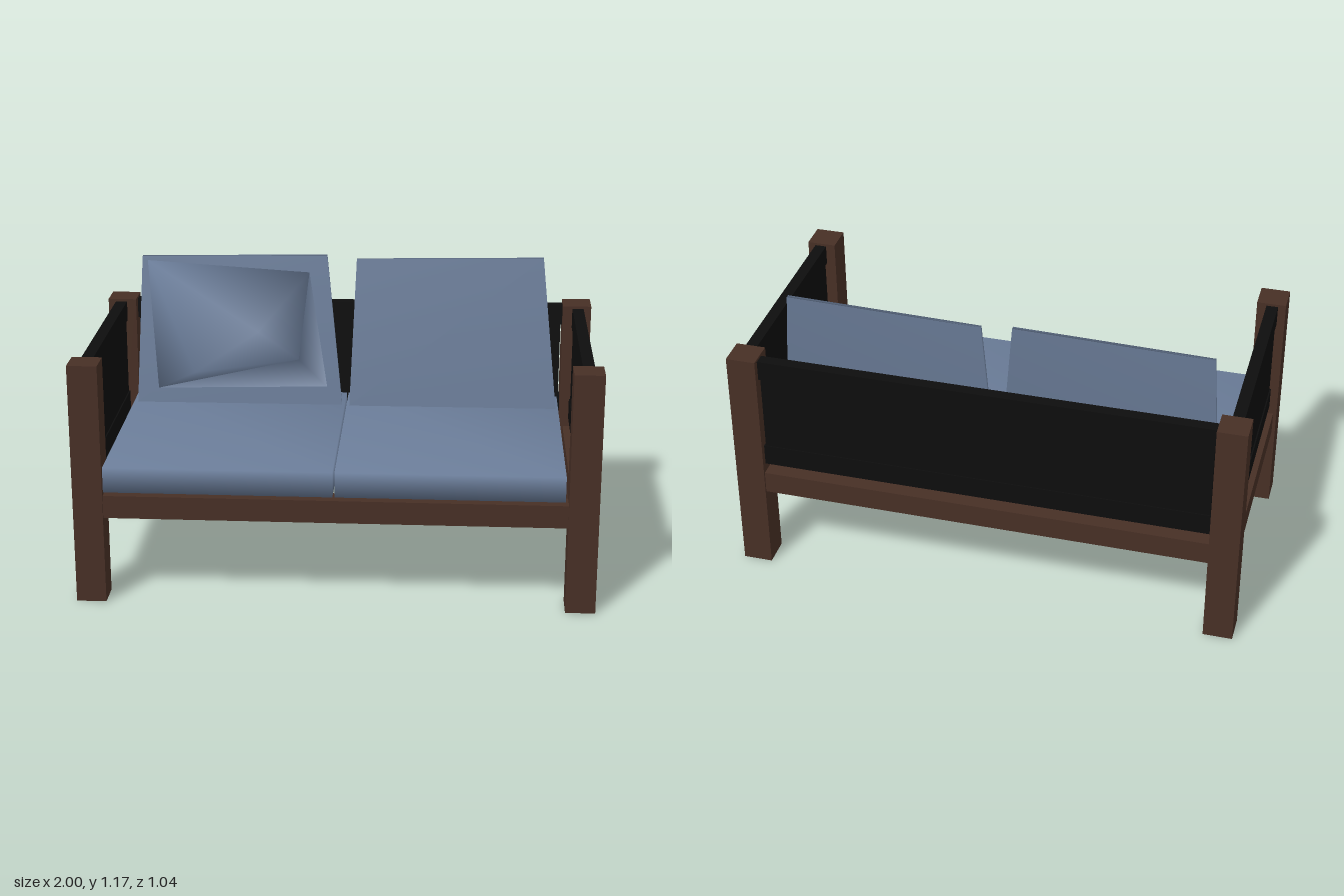
import * as THREE from 'three';

const mat = (name, color) => Object.assign(new THREE.MeshStandardMaterial({ color }), { name });

export function createModel() {
  const wood = mat('dark brown wood', 0x472f25);
  const black = mat('black fabric', 0x0d0d0d);
  const blue = mat('slate blue fabric', 0x6b7d99);
  const root = new THREE.Group();
  root.name = 'sofa';

  const add = (name, geometry, material, parent = root) => {
    const mesh = new THREE.Mesh(geometry, material);
    mesh.name = name;
    parent.add(mesh);
    return mesh;
  };
  // Box given by its minimum and maximum on each axis
  const box = (name, material, [x0, x1], [y0, y1], [z0, z1], parent) =>
    add(name, new THREE.BoxGeometry(x1 - x0, y1 - y0, z1 - z0), material, parent)
      .position.set((x0 + x1) / 2, (y0 + y1) / 2, (z0 + z1) / 2);
  // Shared corners give soft shading across the cushion
  const soft = (points, index) => {
    const g = new THREE.BufferGeometry();
    g.setAttribute('position', new THREE.Float32BufferAttribute(points.flat(), 3));
    g.setIndex(index);
    g.computeVertexNormals();
    return g;
  };
  // Six-sided cushion from a front and a back quad, each counter-clockwise from the front
  const slab = (front, back) => {
    const index = [0, 1, 2, 0, 2, 3, 4, 6, 5, 4, 7, 6];
    for (let i = 0; i < 4; i++) {
      const j = (i + 1) % 4;
      index.push(i, i + 4, j + 4, i, j + 4, j);
    }
    return soft([...front, ...back], index);
  };

  // Corner posts
  for (const x of [-0.9425, 0.9425])
    for (const z of [-0.4625, 0.4625])
      box('post', wood, [x - 0.0575, x + 0.0575], [0, 0.955], [z - 0.0575, z + 0.0575]);

  // Seat rails
  const railY = [0.345, 0.435];
  box('frontRail', wood, [-0.885, 0.885], railY, [0.43, 0.512]);
  box('backRail', wood, [-0.885, 0.885], railY, [-0.512, -0.43]);
  box('leftRail', wood, [0.9, 0.987], railY, [-0.405, 0.405]);
  box('rightRail', wood, [-0.987, -0.9], railY, [-0.405, 0.405]);

  // Slats under the seat
  for (let i = 0; i < 8; i++) {
    const x = -0.77 + i * 0.22;
    box('slat', wood, [x - 0.018, x + 0.018], [0.375, 0.42], [-0.43, 0.43]);
  }

  // Fabric panels: fuller top and bottom bands around a slimmer middle
  const panel = (name, length) => {
    const group = new THREE.Group();
    group.name = name;
    const half = length / 2;
    box('topBand', black, [-half, half], [0.865, 0.945], [-0.023, 0.023], group);
    box('middle', black, [-half + 0.006, half - 0.006], [0.555, 0.865], [-0.018, 0.018], group);
    box('bottomBand', black, [-half, half], [0.47, 0.555], [-0.023, 0.023], group);
    root.add(group);
    return group;
  };
  panel('backPanel', 1.77).position.z = -0.473;
  for (const side of [-1, 1]) {
    const p = panel(side > 0 ? 'leftArmPanel' : 'rightArmPanel', 0.81);
    p.position.x = side * 0.946;
    p.rotation.y = Math.PI / 2;
  }

  // Seat cushions
  for (const [x0, x1] of [[-0.885, -0.008], [0, 0.873]]) {
    const quad = (z, top) => [[x0, 0.445, z], [x1, 0.445, z], [x1, top, z], [x0, top, z]];
    add('seatCushion', slab(quad(0.5, 0.545), quad(-0.44, 0.553)), blue);
  }

  // Thin back cushions leaning backward
  for (const dx of [0, 0.88]) {
    const quad = (zLow, zHigh) => [
      [-0.868 + dx, 0.552, zLow], [-0.018 + dx, 0.555, zLow],
      [-0.083 + dx, 1.17, zHigh], [-0.842 + dx, 1.155, zHigh],
    ];
    add('backCushion', slab(quad(-0.27, -0.35), quad(-0.288, -0.365)), blue);
  }

  // Throw pillow swelling to an off-centre peak
  const pillow = [
    [-0.78, 0.612, -0.278], [-0.08, 0.63, -0.28], [-0.155, 1.1, -0.338], [-0.82, 1.14, -0.344],
    [-0.62, 0.7, -0.22], [-0.19, 0.77, -0.2], [-0.345, 0.905, -0.12],
  ];
  add('throwPillow', soft(pillow, [
    3, 0, 4, 0, 1, 5, 0, 5, 4, 1, 2, 5,
    3, 4, 6, 4, 5, 6, 5, 2, 6, 2, 3, 6,
    0, 2, 1, 0, 3, 2,
  ]), blue);

  return root;
}
